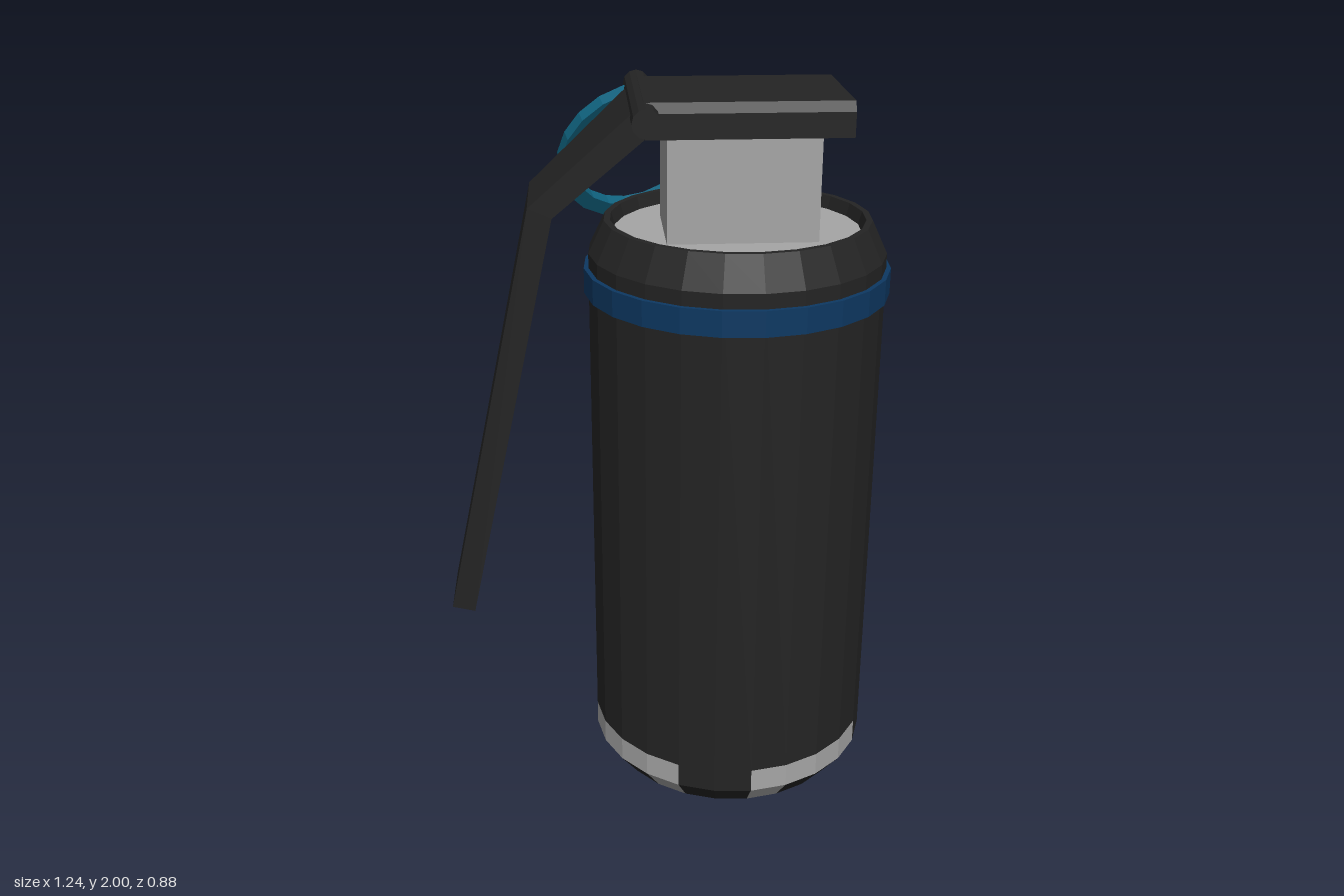
import * as THREE from 'three';

const CX = 0.2, CZ = 0.02;              // axis of the canister
const SIDES = 24, STEP = Math.PI * 2 / SIDES;
const TURN = THREE.MathUtils.degToRad(4); // the facets are turned slightly

const mat = (name, color) => {
  const m = new THREE.MeshStandardMaterial({ color, flatShading: true });
  m.name = name;
  return m;
};

export function createModel() {
  const black = mat('black', 0x242424);
  const silver = mat('silver', 0xa6a6a6);
  const blue = mat('blue', 0x0d3862);
  const teal = mat('teal', 0x0f607c);

  const model = new THREE.Group();
  model.name = 'canister';
  const add = (name, geo, material, x = 0, y = 0, z = 0, parent = model) => {
    const m = new THREE.Mesh(geo, material);
    m.name = name;
    m.position.set(x, y, z);
    parent.add(m);
    return m;
  };

  // Turned part around the canister axis, covering some of the facets
  const turned = (name, pts, material, first = 0, count = SIDES, parent = model) =>
    add(name, new THREE.LatheGeometry(pts.map(p => new THREE.Vector2(...p)), count,
      TURN + first * STEP, count * STEP), material, CX, 0, CZ, parent);

  // Body, rim, lid and band
  turned('body', [[0.405, 0.14], [0.405, 1.57], [0.362, 1.66], [0.345, 1.66], [0.335, 1.625]], black);
  turned('lid', [[0.335, 1.625], [0, 1.625]], silver);
  turned('base', [[0, 0], [0.35, 0]], black);
  turned('band', [[0.4, 1.46], [0.418, 1.46], [0.418, 1.53], [0.4, 1.53]], blue);

  // Foot: four silver brackets, each with a black notch, and black gaps between
  const foot = new THREE.Group();
  foot.name = 'foot';
  model.add(foot);
  const wall = [[0.405, 0.07], [0.405, 0.14]];
  const slope = [[0.35, 0], [0.405, 0.07]];
  for (let q = 0; q < 4; q++) {
    const f = q * 6;
    turned('bracketWall', wall, silver, f, 4, foot);
    turned('bracketLeg', slope, silver, f, 1, foot);
    turned('bracketNotch', slope, black, f + 1, 2, foot);
    turned('bracketLeg', slope, silver, f + 3, 1, foot);
    turned('gap', [...slope, wall[1]], black, f + 4, 2, foot);
  }

  // Neck and the small catch on its back
  add('neck', new THREE.BoxGeometry(0.4, 0.29, 0.286), silver, CX, 1.768, 0.023);
  add('catch', new THREE.BoxGeometry(0.1, 0.11, 0.03), black, 0.195, 1.72, -0.13);

  // Top plate with bevelled long edges
  const section = new THREE.Shape([[-0.205, 1.91], [0.205, 1.91], [0.205, 1.975],
    [0.188, 2], [-0.188, 2], [-0.205, 1.975]].map(p => new THREE.Vector2(...p)));
  const plate = new THREE.ExtrudeGeometry(section, { depth: 0.53, bevelEnabled: false });
  plate.rotateY(Math.PI / 2);
  add('topPlate', plate, black, -0.06, 0, CZ);

  // Bent lever, narrowing toward its tip
  const side = new THREE.Shape([[-0.06, 2], [-0.36, 1.725], [-0.62, 0.535], [-0.555, 0.525],
    [-0.297, 1.7], [-0.05, 1.915]].map(p => new THREE.Vector2(...p)));
  const lever = new THREE.ExtrudeGeometry(side, { depth: 2, bevelEnabled: false });
  lever.translate(0, 0, -1);
  const pos = lever.attributes.position;
  for (let i = 0; i < pos.count; i++) {
    const halfWidth = 0.1025 + (pos.getX(i) + 0.62) * 0.153;
    pos.setZ(i, pos.getZ(i) * halfWidth);
  }
  lever.computeVertexNormals();
  add('lever', lever, black, 0, 0, CZ);

  // Hinge pin
  const pin = new THREE.CylinderGeometry(0.037, 0.037, 0.57, 12);
  pin.rotateX(Math.PI / 2);
  add('hingePin', pin, black, -0.058, 1.963, 0.007);

  // Pull ring with a square section, hanging tilted behind the neck
  const ringPts = [[0.232, -0.018], [0.232, 0.018], [0.188, 0.018], [0.188, -0.018], [0.232, -0.018]];
  const ring = add('pullRing', new THREE.LatheGeometry(ringPts.map(p => new THREE.Vector2(...p)), 20),
    teal, -0.057, 1.768, -0.305);
  ring.quaternion.setFromUnitVectors(new THREE.Vector3(0, 1, 0),
    new THREE.Vector3(-0.263, 0.475, -0.84).normalize());

  return model;
}
